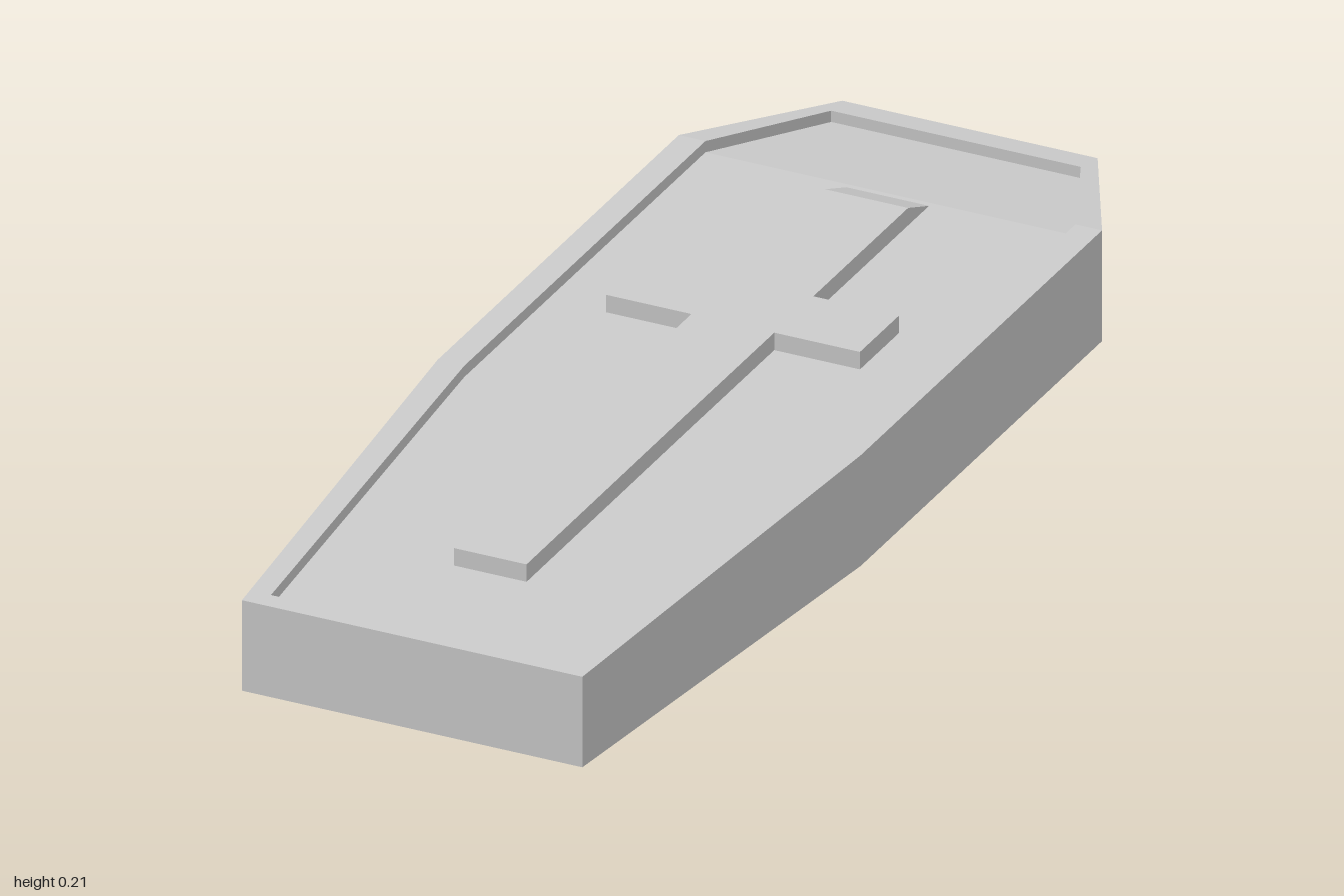
import * as THREE from 'three';

const HEIGHT = 0.197, RECESS = 0.02, RAISE = 0.011;

// Height of the lid along z: level in the middle, sloping down to both ends
function lidY(z) {
  if (z < -0.715) return HEIGHT - (0.037 * (-0.715 - z)) / 0.285;
  if (z > 0.15) return HEIGHT - (0.018 * (z - 0.15)) / 0.85;
  return HEIGHT;
}

// Closed mirrored ring from [z, halfWidth] stations, running down +x and back up -x
function ring(stations, yAt) {
  const side = stations.map(([z, w], i) => new THREE.Vector3(w, yAt(z, i), z));
  const mirror = side.map((p) => new THREE.Vector3(-p.x, p.y, p.z)).reverse();
  return [...side, ...mirror];
}

// Stitch rings together, then close the first and last with strips across x
function loft(rings) {
  const positions = [];
  const tri = (a, b, c) => {
    const area = b.clone().sub(a).cross(c.clone().sub(a)).length();
    if (area > 1e-9) for (const p of [a, b, c]) positions.push(p.x, p.y, p.z);
  };
  const quad = (a, b, c, d) => { tri(a, b, c); tri(a, c, d); };
  const n = rings[0].length;
  for (let r = 0; r < rings.length - 1; r++) {
    const lo = rings[r], hi = rings[r + 1];
    for (let i = 0; i < n; i++) {
      const j = (i + 1) % n;
      quad(lo[i], hi[i], hi[j], lo[j]);
    }
  }
  const bottom = rings[0], top = rings[rings.length - 1];
  for (let i = 0; i < n / 2 - 1; i++) {
    const l = n - 1 - i;
    quad(top[i], top[l], top[l - 1], top[i + 1]);
    quad(bottom[i], bottom[i + 1], bottom[l - 1], bottom[l]);
  }
  const geometry = new THREE.BufferGeometry();
  geometry.setAttribute('position', new THREE.Float32BufferAttribute(positions, 3));
  geometry.computeVertexNormals();
  return geometry;
}

export function createModel() {
  const group = new THREE.Group();
  group.name = 'coffin';
  const material = new THREE.MeshStandardMaterial({ color: 0xcccccc, flatShading: true });
  const add = (name, geometry) => {
    const mesh = new THREE.Mesh(geometry, material);
    mesh.name = name;
    group.add(mesh);
  };
  const floorY = (z) => lidY(z) - RECESS;

  // Six-sided body with a raised rim around a recessed lid panel
  const outer = [[-1, 0.225], [-0.715, 0.373], [0.15, 0.373], [1, 0.3]];
  const inner = [[-0.95, 0.22], [-0.715, 0.326], [0.15, 0.326], [0.965, 0.266]];
  add('body', loft([
    ring(outer, (z) => HEIGHT - lidY(z)),
    ring(outer, lidY),
    ring(inner, lidY),
    ring(inner, floorY),
  ]));

  // Raised cross following the lid, its head end ramping down to the panel
  const cross = [
    [-0.705, 0.073], [-0.63, 0.073], [-0.29, 0.073], [-0.29, 0.224],
    [-0.15, 0.224], [-0.15, 0.073], [0.15, 0.073], [0.72, 0.064],
  ];
  add('cross', loft([
    ring(cross, (z) => floorY(z) - 0.001),
    ring(cross, (z, i) => (i === 0 ? floorY(z) : lidY(z) + RAISE)),
  ]));

  return group;
}
